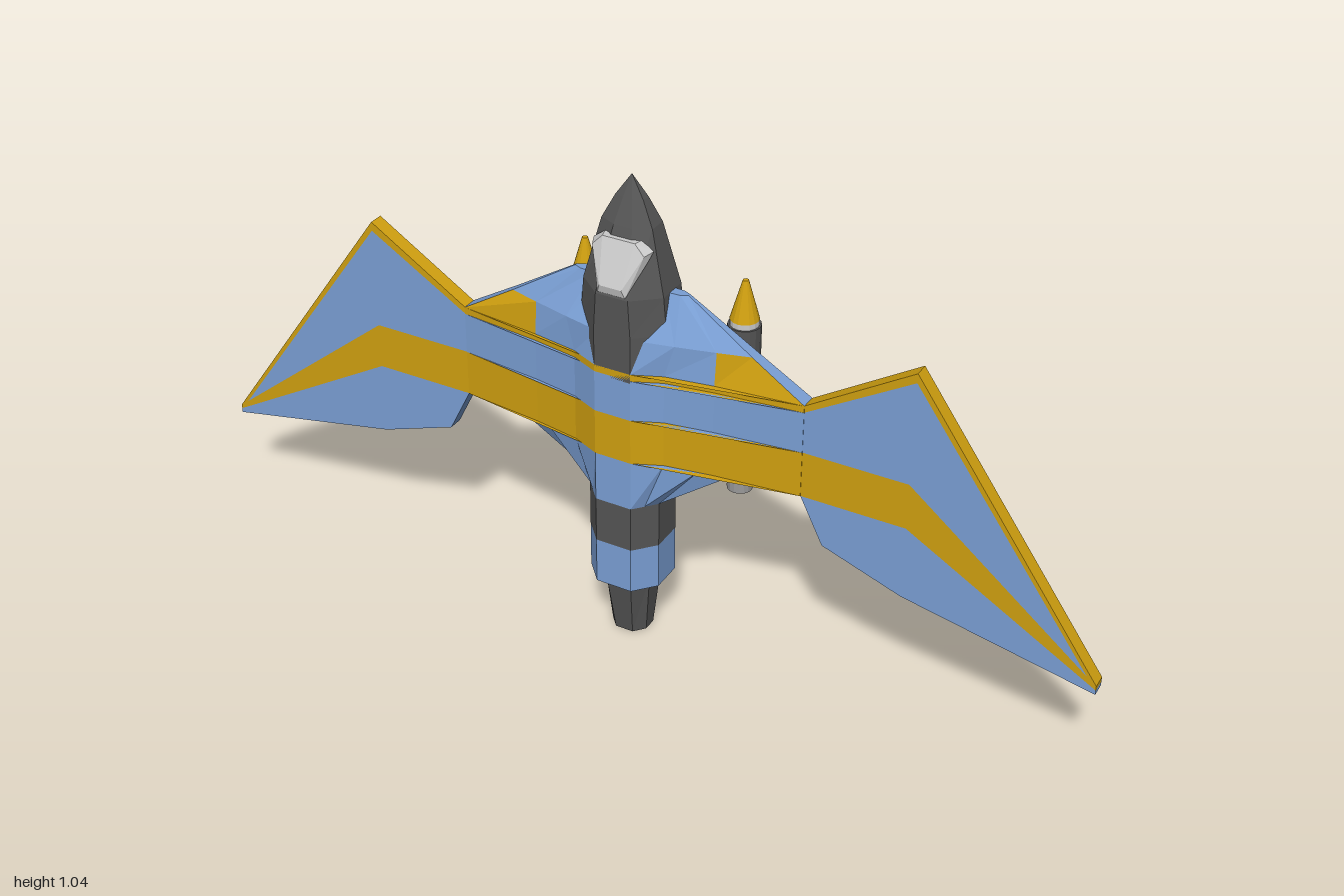
import * as THREE from 'three';
import { ConvexGeometry } from 'three/addons/geometries/ConvexGeometry.js';

const mat = (color) => new THREE.MeshStandardMaterial({ color, flatShading: true });
const blue = mat(0x7a9fd4), yellow = mat(0xd0a010), dark = mat(0x555555), grey = mat(0xcccccc);
const ZC = 0.038; // depth of the symmetry plane of the airframe

// Full ring from one quarter of [x, dz] points, running front -> +x -> back -> -x
function ring([y, quarter]) {
  const back = [...quarter].reverse();
  return [
    ...quarter.map(([x, d]) => [x, y, ZC + d]),
    ...back.map(([x, d]) => [x, y, ZC - d]),
    ...quarter.map(([x, d]) => [-x, y, ZC - d]),
    ...back.map(([x, d]) => [-x, y, ZC + d]),
  ];
}

// Skin between successive rings; keep(i) selects the side strips, caps are optional
function loft(name, material, sections, { keep = () => true, caps = true } = {}) {
  const rings = sections.map(ring), n = rings[0].length, pos = [];
  const tri = (...pts) => pts.forEach((p) => pos.push(...p));
  for (let k = 0; k < rings.length - 1; k++) {
    const a = rings[k], b = rings[k + 1];
    for (let i = 0; i < n; i++) {
      if (!keep(i)) continue;
      const j = (i + 1) % n;
      tri(a[i], a[j], b[j]);
      tri(a[i], b[j], b[i]);
    }
  }
  if (caps) {
    const lo = rings[0], hi = rings[rings.length - 1];
    for (let i = 1; i < n - 1; i++) {
      tri(lo[0], lo[i + 1], lo[i]);
      tri(hi[0], hi[i], hi[i + 1]);
    }
  }
  const geo = new THREE.BufferGeometry();
  geo.setAttribute('position', new THREE.Float32BufferAttribute(pos, 3));
  geo.computeVertexNormals();
  return part(name, geo, material);
}

function part(name, geo, material, x = 0, y = 0, z = 0) {
  const mesh = new THREE.Mesh(geo, material);
  mesh.name = name;
  mesh.position.set(x, y, z);
  return mesh;
}

// Flat wing panel, mirrored by s
function panel(name, material, s, pts) {
  const shape = new THREE.Shape(pts.map(([x, y]) => new THREE.Vector2(s * x, y)));
  const geo = new THREE.ExtrudeGeometry(shape, { depth: 0.032, bevelEnabled: false });
  return part(name, geo, material, 0, 0, ZC - 0.016);
}

function wing(s) {
  const g = new THREE.Group();
  g.name = s > 0 ? 'leftWing' : 'rightWing';
  g.add(
    panel('leadingEdge', yellow, s, [[0.38, 0.645], [0.38, 0.66], [0.6, 0.797], [1, 0.235], [0.98, 0.25], [0.6, 0.777]]),
    panel('upperPanel', blue, s, [[0.38, 0.555], [0.38, 0.645], [0.6, 0.777], [0.98, 0.25], [0.6, 0.555]]),
    panel('stripe', yellow, s, [[0.38, 0.455], [0.38, 0.555], [0.6, 0.555], [0.98, 0.25], [1, 0.235], [1, 0.225], [0.6, 0.455]]),
    panel('lowerPanel', blue, s, [[0.43, 0.355], [0.38, 0.455], [0.6, 0.455], [1, 0.225], [1, 0.215], [0.6, 0.295]]),
  );
  return g;
}

function missile(s) {
  const g = new THREE.Group();
  g.name = s > 0 ? 'leftMissile' : 'rightMissile';
  const cyl = (name, m, rTop, rLow, y0, y1) =>
    g.add(part(name, new THREE.CylinderGeometry(rTop, rLow, y1 - y0, 16), m, 0, (y0 + y1) / 2, 0));
  cyl('nozzle', mat(0x999999), 0.027, 0.027, 0.325, 0.36);
  cyl('casing', dark, 0.034, 0.034, 0.36, 0.71);
  cyl('collar', grey, 0.03, 0.03, 0.71, 0.722);
  cyl('warhead', yellow, 0.006, 0.03, 0.722, 0.807);
  g.position.set(s * 0.18, 0, -0.088);
  return g;
}

function pylon(s) {
  const g = new THREE.Group();
  g.name = s > 0 ? 'leftPylon' : 'rightPylon';
  for (const [name, m, y0, y1] of [['stripe', yellow, 0.45, 0.555], ['block', blue, 0.555, 0.657]])
    g.add(part(name, new THREE.BoxGeometry(0.048, y1 - y0, 0.064), m, 0, (y0 + y1) / 2, 0));
  g.position.set(s * 0.176, 0, -0.018);
  g.rotation.y = -0.16 * s;
  return g;
}

export function createModel() {
  const model = new THREE.Group();
  model.name = 'aircraft';

  // Tail: nozzle and rear fuselage bands
  const body = [[0.04, 0.08], [0.08, 0.035]];
  model.add(
    loft('nozzle', dark, [[0, [[0.02, 0.038], [0.04, 0.015]]], [0.14, [[0.028, 0.06], [0.053, 0.025]]]]),
    loft('tailBand', blue, [[0.14, body], [0.243, body]]),
    loft('rearFuselage', dark, [[0.243, body], [0.345, body]]),
  );

  // Thick centre section in coloured bands, with its tapering underside
  const centre = [[0.04, 0.08], [0.1, 0.054], [0.2, 0.037], [0.38, 0.017]];
  model.add(loft('centreTaper', blue, [
    [0.345, [[0.04, 0.08], [0.06, 0.0575], [0.08, 0.035], [0.08, 0.01]]],
    [0.455, [[0.04, 0.08], [0.1, 0.054], [0.17, 0.042], [0.23, 0.03]]],
  ]));
  for (const [name, m, y0, y1] of [
    ['centreStripe', yellow, 0.455, 0.555],
    ['centrePanel', blue, 0.555, 0.645],
    ['centreEdge', yellow, 0.645, 0.66],
  ]) model.add(loft(name, m, [[y0, centre], [y1, centre]]));

  // Strakes: yellow outer faces low down, blue elsewhere
  const mid = [[0.04, 0.068], [0.12, 0.05], [0.2, 0.03], [0.266, 0.012]];
  const top = [[0.04, 0.012], [0.08, 0.012], [0.11, 0.01], [0.125, 0.003]];
  const outer = (i) => [2, 4, 10, 12].includes(i);
  model.add(
    loft('strakePatches', yellow, [[0.66, centre], [0.73, mid]], { keep: outer, caps: false }),
    loft('strakeSides', blue, [[0.66, centre], [0.73, mid]], { keep: (i) => !outer(i), caps: false }),
    loft('strakeTips', blue, [[0.73, mid], [0.82, top]]),
  );

  // Nose: dark shell with a blue back
  const nose = [
    [0.64, [[0.04, 0.08], [0.095, 0.035]]],
    [0.74, [[0.04, 0.08], [0.095, 0.035]]],
    [0.82, [[0.035, 0.08], [0.088, 0.035]]],
    [0.95, [[0.02, 0.035], [0.055, 0.02]]],
  ];
  const back = (i) => i >= 2 && i <= 4;
  model.add(
    loft('noseShell', dark, nose, { keep: (i) => !back(i), caps: false }),
    loft('noseBack', blue, nose, { keep: back, caps: false }),
    loft('noseTip', dark, [nose[3], [1.0, [[0.01, 0.017], [0.03, 0.01]]], [1.045, [[0, 0], [0, 0]]]], { caps: false }),
  );

  // Faceted canopy
  const canopy = [];
  for (const s of [-1, 1])
    for (const [x, y, z] of [
      [0.04, 0.93, 0.07], [0.035, 0.93, 0.09], [0.065, 0.912, 0.07], [0.056, 0.908, 0.092],
      [0.03, 0.825, 0.1], [0.03, 0.825, 0.119], [0.024, 0.842, 0.123],
    ]) canopy.push(new THREE.Vector3(s * x, y, z));
  model.add(part('canopy', new ConvexGeometry(canopy), grey));

  for (const s of [1, -1]) model.add(wing(s), pylon(s), missile(s));
  return model;
}
